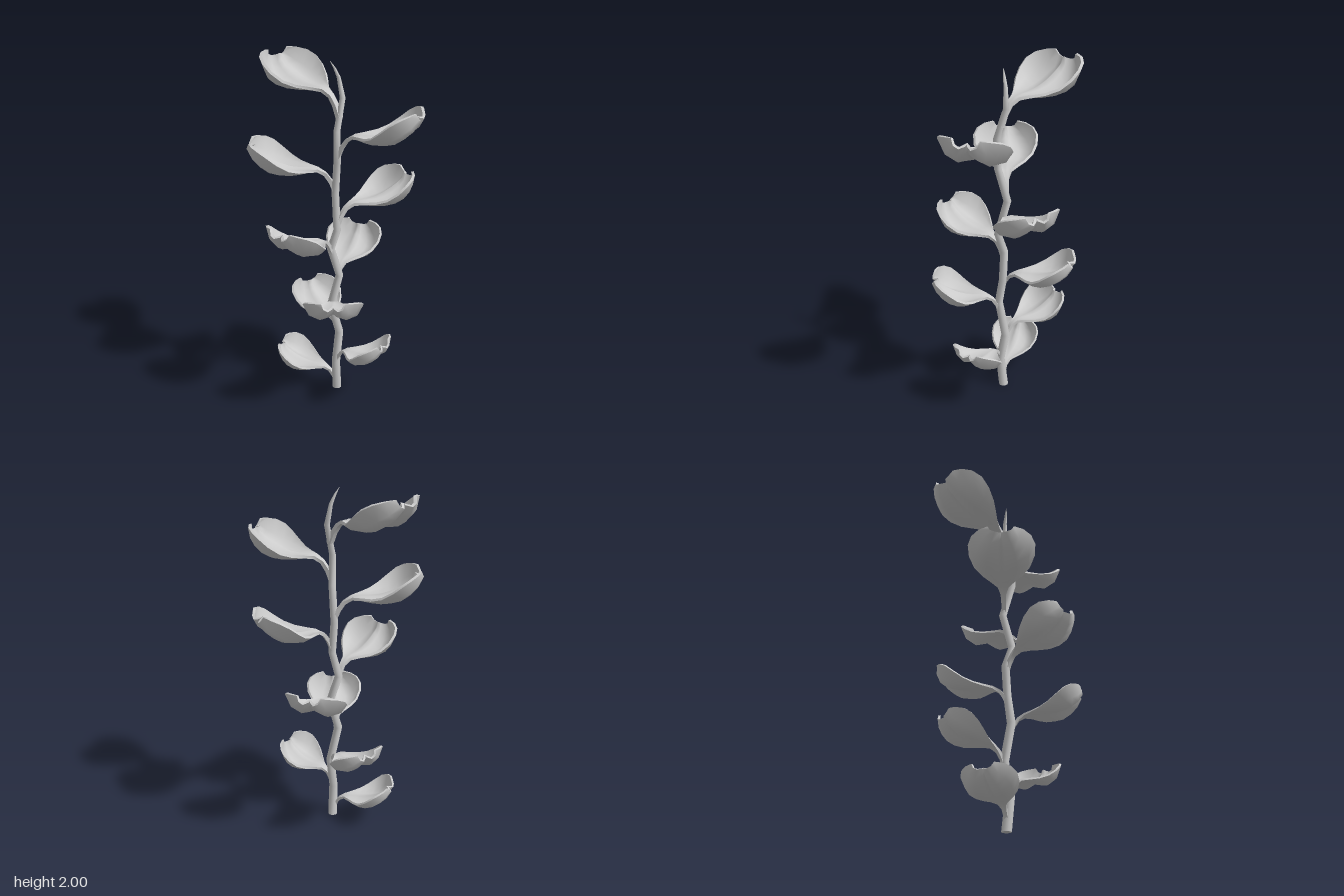
import * as THREE from 'three';

const material = new THREE.MeshStandardMaterial({ color: 0xcccccc });

// Stem rings: height, x, z, radius
const STEM = [
  [0, 0, 0, 0.028], [0.19, 0, 0.02, 0.026], [0.38, 0.01, -0.015, 0.025],
  [0.58, -0.025, 0.035, 0.024], [0.76, 0.015, 0.0, 0.023], [0.92, -0.035, 0.005, 0.023],
  [1.05, 0.01, 0.03, 0.022], [1.25, -0.015, -0.018, 0.022], [1.45, 0.01, 0.03, 0.021],
  [1.62, 0.01, 0.035, 0.019], [1.79, 0.025, -0.02, 0.016], [1.9, 0.005, -0.012, 0.011],
  [1.95, -0.015, 0, 0.007], [1.985, -0.035, 0.01, 0.001],
];

// Leaf tips: x, y, z
const LEAVES = [
  [-0.365, 0.27, -0.01], [0.325, 0.43, 0.13], [-0.27, 0.6, -0.27], [0.1, 0.78, 0.4],
  [0.025, 0.965, -0.41], [-0.2, 1.16, 0.4], [0.345, 1.36, -0.275], [-0.47, 1.56, 0.115],
  [0.47, 1.775, 0.065], [-0.44, 2.0, -0.25],
];

// Leaf stations: distance, half width, trough height, rim height
const STATIONS = [
  [0, 0.014, -0.01, -0.01], [0.025, 0.014, 0.05, 0.05], [0.055, 0.016, 0.095, 0.095],
  [0.095, 0.03, 0.119, 0.122], [0.14, 0.066, 0.125, 0.13], [0.19, 0.112, 0.12, 0.14],
  [0.24, 0.155, 0.117, 0.162], [0.295, 0.183, 0.12, 0.203], [0.345, 0.187, 0.133, 0.245],
  [0.39, 0.165, 0.162, 0.272], [0.43, 0.122, 0.198, 0.286], [0.46, 0.072, 0.25, 0.291],
];

// Half cross-section of the blade: side position, rise, pull-back at the tip
const SECTION = [[0, 0.38, 0.032], [0.12, 0.2, 0.022], [0.45, 0, 0], [0.8, 0.28, 0.003], [1, 1, 0.016]];
const ACROSS = [
  ...SECTION.slice(1).reverse().map(([w, f, p]) => [-w, f, p]),
  ...SECTION,
];

function makeGeometry(positions, indices) {
  const g = new THREE.BufferGeometry();
  g.setAttribute('position', new THREE.Float32BufferAttribute(positions, 3));
  g.setIndex(indices);
  g.computeVertexNormals();
  return g;
}

function stemGeometry() {
  const sides = 10, pos = [], idx = [];
  for (const [y, x, z, r] of STEM) {
    for (let k = 0; k < sides; k++) {
      const a = (k / sides) * Math.PI * 2;
      pos.push(x + r * Math.cos(a), y, z + r * Math.sin(a));
    }
  }
  for (let i = 0; i < STEM.length - 1; i++) {
    for (let k = 0; k < sides; k++) {
      const a = i * sides + k, b = i * sides + (k + 1) % sides;
      idx.push(a, a + sides, b, b, a + sides, b + sides);
    }
  }
  // Flat cut at the foot
  const foot = pos.length / 3;
  for (let k = 0; k < sides; k++) pos.push(...pos.slice(k * 3, k * 3 + 3));
  for (let k = 1; k < sides - 1; k++) idx.push(foot, foot + k, foot + k + 1);
  return makeGeometry(pos, idx);
}

// Cupped, two-lobed blade on a curved stalk, growing along +x
function leafGeometry() {
  const rows = STATIONS.length, cols = ACROSS.length, count = rows * cols;
  const mid = [], grid = [];
  STATIONS.forEach(([u, hw, low, high], i) => {
    const end = i === rows - 1 ? 1 : i === rows - 2 ? 0.25 : 0;
    for (const [w, f, pull] of ACROSS) mid.push(u - pull * end, low + (high - low) * f, w * hw);
  });
  for (let i = 0; i < rows - 1; i++) {
    for (let j = 0; j < cols - 1; j++) {
      const a = i * cols + j, b = a + cols;
      grid.push(a, a + 1, b, b, a + 1, b + 1);
    }
  }

  // Thicken the middle surface along its normals
  const normal = makeGeometry(mid, grid).getAttribute('normal').array;
  const layer = (sign) => mid.map((v, n) => {
    const row = Math.floor(n / 3 / cols);
    return v + sign * normal[n] * (row < 4 ? 0.013 - row * 0.0015 : 0.0075);
  });
  const top = layer(1), bottom = layer(-1);
  const pos = [...top, ...bottom], idx = [...grid];
  for (let t = 0; t < grid.length; t += 3) {
    idx.push(grid[t] + count, grid[t + 2] + count, grid[t + 1] + count);
  }

  // Rim joining both layers, with its own vertices for a crisp edge
  const loop = [];
  for (let i = 0; i < rows - 1; i++) loop.push(i * cols);
  for (let j = 0; j < cols - 1; j++) loop.push((rows - 1) * cols + j);
  for (let i = rows - 1; i > 0; i--) loop.push(i * cols + cols - 1);
  for (let j = cols - 1; j > 0; j--) loop.push(j);
  const start = count * 2, n = loop.length;
  for (const v of loop) pos.push(...top.slice(v * 3, v * 3 + 3), ...bottom.slice(v * 3, v * 3 + 3));
  for (let k = 0; k < n; k++) {
    const a = start + k * 2, b = start + ((k + 1) % n) * 2;
    idx.push(a, b, a + 1, b, b + 1, a + 1);
  }
  return makeGeometry(pos, idx);
}

// Centre of the stem at a given height
function stemPoint(y) {
  const i = Math.max(1, STEM.findIndex((s) => s[0] >= y));
  const [a, b] = [STEM[i - 1], STEM[i]];
  const t = (y - a[0]) / (b[0] - a[0]);
  return new THREE.Vector3(a[1] + (b[1] - a[1]) * t, y, a[2] + (b[2] - a[2]) * t);
}

export function createModel() {
  const plant = new THREE.Group();
  plant.name = 'plant';

  const stem = new THREE.Mesh(stemGeometry(), material);
  stem.name = 'stem';
  plant.add(stem);

  const blade = leafGeometry();
  LEAVES.forEach(([x, y, z], i) => {
    const size = 0.78 + 0.027 * i;
    const base = stemPoint(y - 0.297 * size);
    const dx = x - base.x, dz = z - base.z;
    const leaf = new THREE.Mesh(blade, material);
    leaf.name = `leaf${i + 1}`;
    leaf.position.copy(base);
    leaf.rotation.y = Math.atan2(-dz, dx);
    leaf.scale.set(Math.hypot(dx, dz) / 0.462, size, size);
    plant.add(leaf);
  });
  return plant;
}
